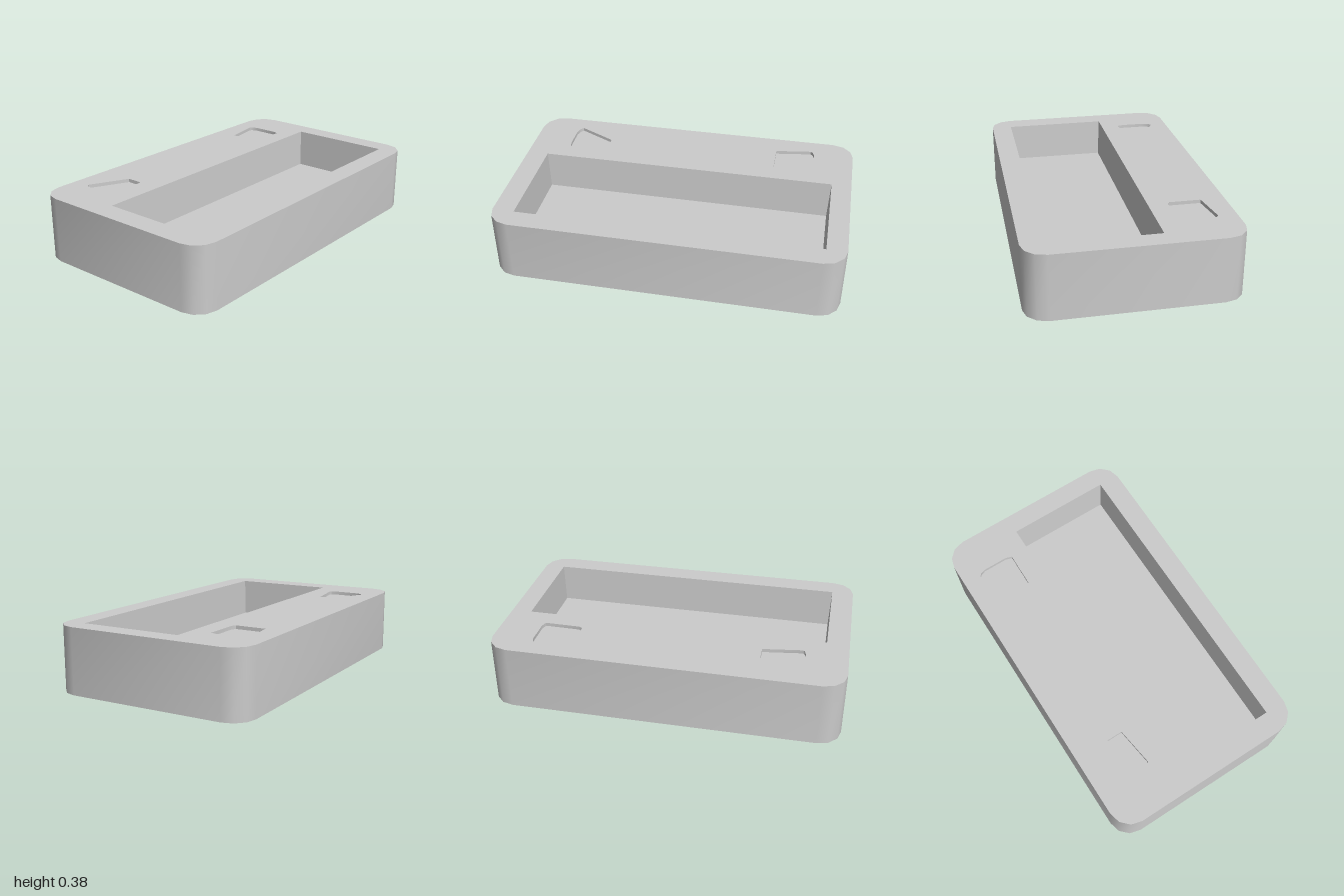
import * as THREE from 'three';
import { toCreasedNormals } from 'three/addons/utils/BufferGeometryUtils.js';

const HEIGHT = 0.375;
const POCKET_FLOOR = 0.145;
const MARK_FLOOR = 0.355;

const material = new THREE.MeshStandardMaterial({ color: 0xcccccc });

// Turns [x, z] pairs into a counter-clockwise loop seen from above (plan y = -z)
function loop(pairs) {
  const pts = pairs.map(([x, z]) => new THREE.Vector2(x, -z));
  return THREE.ShapeUtils.isClockWise(pts) ? pts.reverse() : pts;
}

const rectangle = (x0, x1, z0, z1) => loop([[x0, z0], [x1, z0], [x1, z1], [x0, z1]]);

// Rectangle with rounded corners of a few facets each
function roundedRectangle(hx, hz, r, segments) {
  const pairs = [];
  [[1, 1], [-1, 1], [-1, -1], [1, -1]].forEach(([sx, sz], corner) => {
    for (let i = 0; i <= segments; i++) {
      const a = (corner + i / segments) * Math.PI / 2;
      pairs.push([sx * (hx - r) + r * Math.cos(a), sz * (hz - r) + r * Math.sin(a)]);
    }
  });
  return loop(pairs);
}

// Wall between two loops: outward when going up, inward when going down
function wall(a, ya, b, yb) {
  const pos = [];
  a.forEach((p, i) => {
    const j = (i + 1) % a.length;
    const A = [p.x, ya, -p.y], B = [a[j].x, ya, -a[j].y];
    const C = [b[j].x, yb, -b[j].y], D = [b[i].x, yb, -b[i].y];
    pos.push(...A, ...B, ...C, ...A, ...C, ...D);
  });
  const geometry = new THREE.BufferGeometry();
  geometry.setAttribute('position', new THREE.Float32BufferAttribute(pos, 3));
  return toCreasedNormals(geometry, 0.7);
}

// Flat horizontal face, facing up or down
function face(points, y, holes = [], up = true) {
  const shape = new THREE.Shape(points);
  shape.holes = holes.map((h) => new THREE.Path(h));
  const geometry = new THREE.ShapeGeometry(shape);
  geometry.rotateX(up ? -Math.PI / 2 : Math.PI / 2);
  return geometry.translate(0, y, 0);
}

export function createModel() {
  const model = new THREE.Group();
  model.name = 'tray';
  const add = (name, geometry) => {
    const mesh = new THREE.Mesh(geometry, material);
    mesh.name = name;
    model.add(mesh);
  };

  const outline = roundedRectangle(0.587, 1, 0.127, 3);
  const pocketRim = rectangle(-0.148, 0.464, -0.884, 0.873);
  const pocketBase = rectangle(-0.14, 0.456, -0.876, 0.865);
  const marks = {
    backMark: loop([[-0.482, -0.74], [-0.47, -0.753], [-0.44, -0.764], [-0.295, -0.764], [-0.257, -0.752],
      [-0.26, -0.55], [-0.272, -0.527], [-0.45, -0.527]]),
    frontMark: loop([[-0.38, 0.523], [-0.288, 0.523], [-0.257, 0.743], [-0.262, 0.756], [-0.295, 0.765],
      [-0.43, 0.765], [-0.468, 0.754], [-0.487, 0.737]]),
  };

  // Block
  add('outerWall', wall(outline, 0, outline, HEIGHT));
  add('topFace', face(outline, HEIGHT, [pocketRim, ...Object.values(marks)]));
  add('underside', face(outline, 0, [], false));

  // Long pocket with slightly tapered walls
  add('pocketWalls', wall(pocketRim, HEIGHT, pocketBase, POCKET_FLOOR));
  add('pocketFloor', face(pocketBase, POCKET_FLOOR));

  // Shallow recessed marks
  for (const [name, points] of Object.entries(marks)) {
    add(name + 'Walls', wall(points, HEIGHT, points, MARK_FLOOR));
    add(name + 'Floor', face(points, MARK_FLOOR));
  }
  return model;
}
